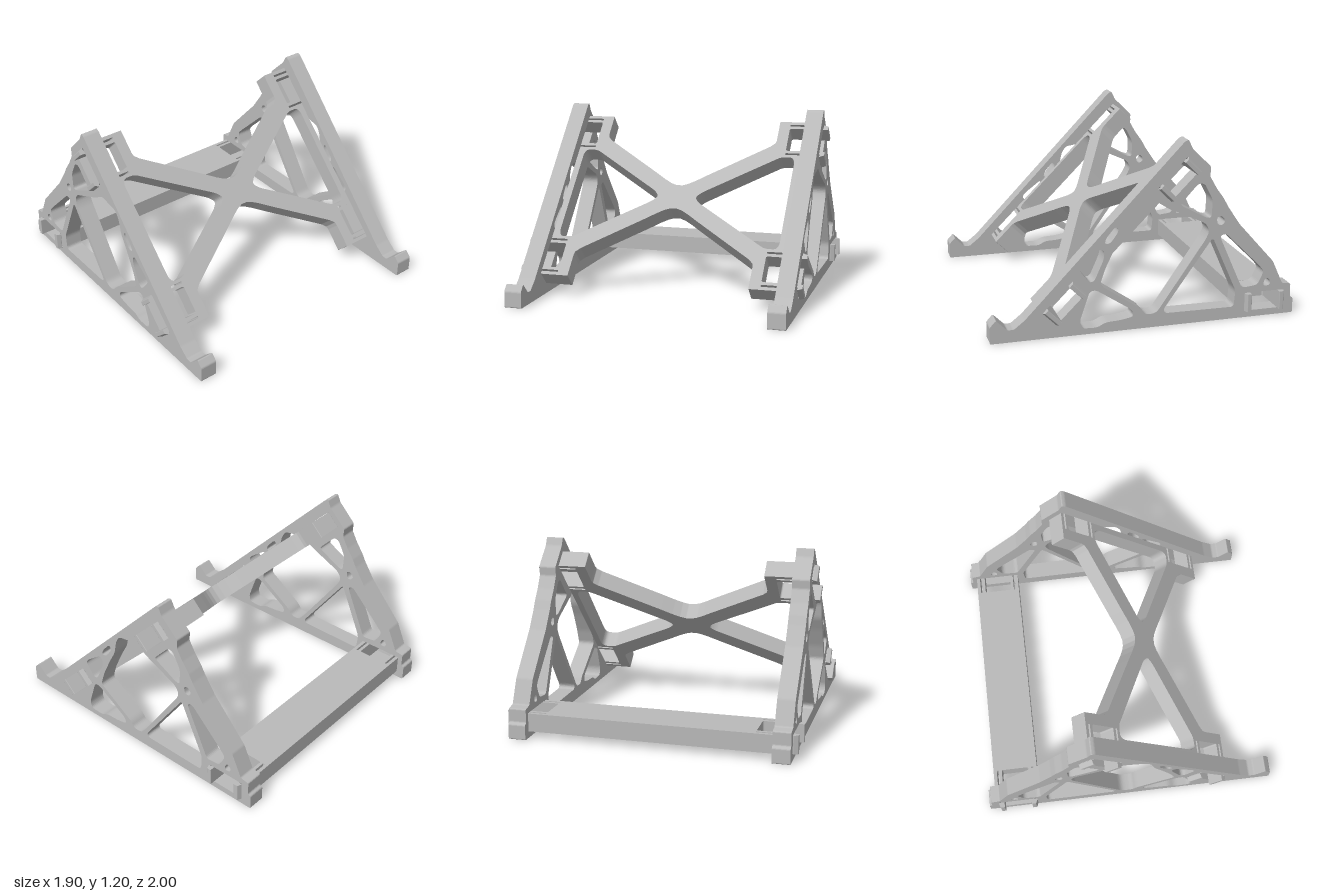
import * as THREE from 'three';

const grey = new THREE.MeshStandardMaterial({ color: 0xbababa });
grey.name = 'grey plastic';

// Trace a closed polygon into a path, rounding each corner up to radius r
function trace(path, pts, r) {
  const n = pts.length;
  const toward = (p, q) => {
    const d = Math.hypot(q[0] - p[0], q[1] - p[1]);
    const t = Math.min(r, d * 0.45) / d;
    return [p[0] + (q[0] - p[0]) * t, p[1] + (q[1] - p[1]) * t];
  };
  pts.forEach((p, i) => {
    const a = toward(p, pts[(i + n - 1) % n]);
    const b = toward(p, pts[(i + 1) % n]);
    if (i) path.lineTo(...a); else path.moveTo(...a);
    if (r > 0) path.quadraticCurveTo(...p, ...b);
  });
  path.closePath();
  return path;
}

// Extrude a counter-clockwise outline with holes, centred on its thickness
function plate(outline, r, holes, depth) {
  const shape = trace(new THREE.Shape(), outline, r);
  shape.holes = holes.map(([pts, hr]) => trace(new THREE.Path(), pts, hr));
  return new THREE.ExtrudeGeometry(shape, { depth, bevelEnabled: false, curveSegments: 5 })
    .translate(0, 0, -depth / 2);
}

function add(group, name, geometry, x = 0, y = 0, z = 0) {
  const mesh = new THREE.Mesh(geometry, grey);
  mesh.name = name;
  mesh.position.set(x, y, z);
  group.add(mesh);
}

const percent = (pts) => pts.map(([a, b]) => [a / 100, b / 100]);
const flipX = (pts) => pts.map(([x, y]) => [-x, y]).reverse();
const flipY = (pts) => pts.map(([x, y]) => [x, -y]).reverse();

// Snap-in end: shoulders, slits and two barbed prongs, from top to bottom about v
function clip(v) {
  const upper = [[0.8, 0.153], [0.8, 0.13], [0.685, 0.13], [0.685, 0.116], [0.918, 0.116],
    [0.918, 0.137], [0.95, 0.124], [0.95, 0.095], [0.692, 0.095], [0.685, 0.088]];
  return [...upper, ...flipY(upper)].map(([x, y]) => [x, y + v]);
}

// Rectangular socket through the side frame
function socket(a, y, angle) {
  const c = Math.cos(angle), s = Math.sin(angle);
  return [[-0.131, -0.061], [0.131, -0.061], [0.131, 0.061], [-0.131, 0.061]]
    .map(([u, v]) => [a + u * c - v * s, y + u * s + v * c]);
}

// Triangular side truss; first coordinate runs from front to back
function sideFrame() {
  const outline = percent([[-100, 0], [100, 0], [100, 10], [98, 11], [98, 20], [92, 21], [85, 36.5],
    [61, 63.5], [53, 75.5], [50, 81], [45, 88], [40.5, 96], [41, 102], [28.5, 114.5], [26, 120],
    [23.5, 119], [-78, 13.5], [-85, 8], [-89, 8], [-96, 15], [-100, 10.7]]);
  const openings = [
    // front lower
    [[-42, 4], [-43.5, 9], [-37, 28], [-33, 28.5], [-9.5, 13], [-8.5, 8.5], [-17, 7], [-27, 6.5], [-32, 3.7]],
    // large middle
    [[-30.5, 31.5], [-27, 42], [-20.5, 55.5], [-15.5, 64.5], [-13, 75.5], [-10, 80], [5.5, 82.5], [14, 77],
      [38, 66], [41, 61], [39, 56], [7.3, 10.5], [4.5, 9], [-1, 9], [-4, 13.3]],
    // lower centre
    [[43.3, 56], [59.7, 19], [58.7, 8], [12, 8.5], [11, 11]],
    // rear
    [[48, 56.5], [52, 58], [74.7, 35.3], [79, 30.5], [74.7, 21.4], [64, 20.3]],
    [[81, 26.2], [84, 23], [83, 20.3], [79, 20.3], [79, 23]],
    // top
    [[21, 79], [33, 92], [37, 91.5], [42.6, 80.7], [42, 69], [38.5, 69.5]],
    [[45.5, 69], [49, 70], [51.7, 66.3], [49.5, 63.6], [46.3, 64]],
    // slots in the sloping rail
    [[-27.5, 57.7], [-26.5, 61.5], [-20.5, 68.5], [-18.5, 67], [-19, 64.5], [-23.7, 58]],
    [[-44, 43], [-42, 46], [-30, 55], [-27.5, 53], [-28, 48], [-34, 34.5], [-37, 33.7]],
  ].map((pts) => [percent(pts), 0.025]);
  const sockets = [
    socket(-0.53, 0.22, Math.PI / 4),
    socket(0.205, 0.957, Math.PI / 4),
    socket(0.795, 0.105, 0),
  ].map((pts) => [pts, 0]);
  return plate(outline, 0.009, [...openings, ...sockets], 0.115).rotateY(Math.PI / 2);
}

// Sloping X-shaped brace with thin edge rails
function crossBrace() {
  const quarter = [[0.02, 0.096], [0.06, 0.111], [0.11, 0.141], [0.18, 0.19], [0.575, 0.455],
    [0.605, 0.485], [0.61, 0.51], [0.61, 0.673], ...clip(0.52)];
  const half = [...quarter, ...flipY(quarter)];
  const outline = [...half, ...flipX(half)].reverse();
  const window = [[0.128, 0], [0.165, 0.043], [0.66, 0.367], [0.737, 0.37], [0.757, 0.335],
    [0.757, -0.335], [0.737, -0.37], [0.66, -0.367], [0.165, -0.043]];
  return plate(outline, 0.004, [[window, 0.025], [flipX(window), 0.025]], 0.12).rotateX(-Math.PI / 4);
}

// Flat bar joining the rear feet
function rearBar() {
  const end = clip(0);
  return plate([...end, ...flipX(end)].reverse(), 0.004, [], 0.12).rotateX(-Math.PI / 2);
}

export function createModel() {
  const group = new THREE.Group();
  group.name = 'stand';
  const frame = sideFrame();
  add(group, 'leftSideFrame', frame, 0.8575);
  add(group, 'rightSideFrame', frame, -0.8575);
  add(group, 'crossBrace', crossBrace(), 0, 0.588, 0.163);
  add(group, 'rearBar', rearBar(), 0, 0.105, -0.795);
  return group;
}
